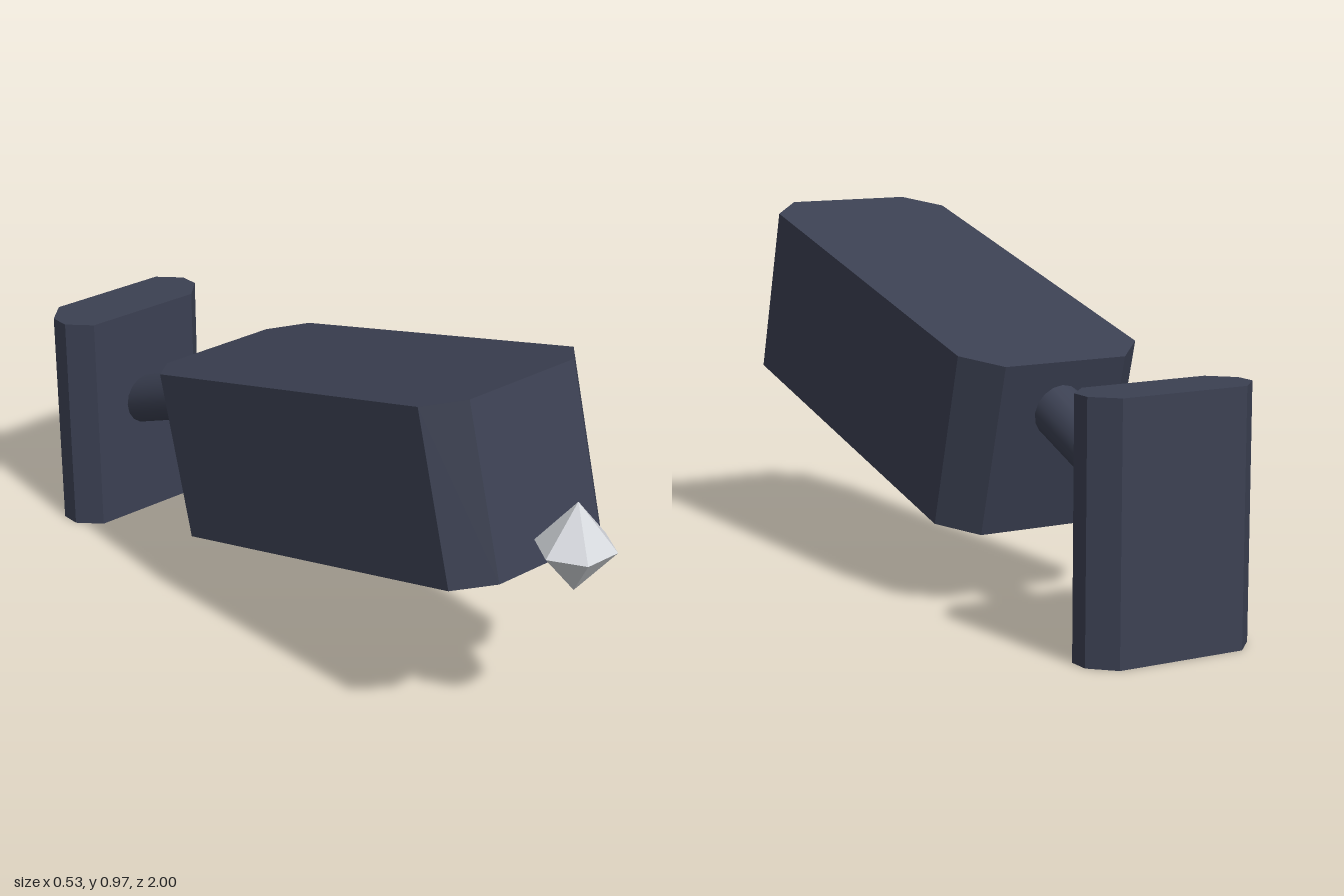
import * as THREE from 'three';

// Upright prism with chamfered vertical edges, centred on the origin
function chamferedBlock(width, height, depth, cut) {
  const w = width / 2, d = depth / 2;
  const outline = new THREE.Shape([
    [w - cut, -d], [w, -d + cut], [w, d - cut], [w - cut, d],
    [-w + cut, d], [-w, d - cut], [-w, -d + cut], [-w + cut, -d],
  ].map(([x, y]) => new THREE.Vector2(x, y)));
  const geometry = new THREE.ExtrudeGeometry(outline, { depth: height, bevelEnabled: false });
  geometry.translate(0, 0, -height / 2);
  return geometry.rotateX(-Math.PI / 2);
}

export function createModel() {
  const group = new THREE.Group();
  const darkMetal = new THREE.MeshStandardMaterial({ color: 0x3b4052 });
  darkMetal.name = 'dark slate metal';
  const paleCrystal = new THREE.MeshStandardMaterial({ color: 0xd2d5da, flatShading: true });
  paleCrystal.name = 'pale crystal';

  const add = (name, geometry, material, y, z) => {
    const mesh = new THREE.Mesh(geometry, material);
    mesh.name = name;
    mesh.position.set(0, y, z);
    group.add(mesh);
    return mesh;
  };

  // Tilted housing, front end raised
  const housing = add('housing', chamferedBlock(0.53, 0.466, 1.232, 0.088), darkMetal, 0.581, 0.175);
  housing.rotation.x = -THREE.MathUtils.degToRad(15);

  // Upright mounting plate at the back
  add('mountingPlate', chamferedBlock(0.47, 0.645, 0.174, 0.059), darkMetal, 0.3225, -0.913);

  // Round arm joining plate and housing
  const from = new THREE.Vector3(0, 0.339, -0.88);
  const to = new THREE.Vector3(0, 0.535, -0.4);
  const middle = from.clone().lerp(to, 0.5);
  const arm = add('mountingArm', new THREE.CylinderGeometry(0.07, 0.07, from.distanceTo(to), 16),
    darkMetal, middle.y, middle.z);
  arm.quaternion.setFromUnitVectors(new THREE.Vector3(0, 1, 0), to.clone().sub(from).normalize());

  // Six-sided double pyramid floating before the housing
  const crystal = new THREE.LatheGeometry([
    new THREE.Vector2(0, -0.122), new THREE.Vector2(0.104, 0), new THREE.Vector2(0, 0.122),
  ], 6, Math.PI / 6);
  add('crystal', crystal, paleCrystal, 0.59, 0.91);

  return group;
}
